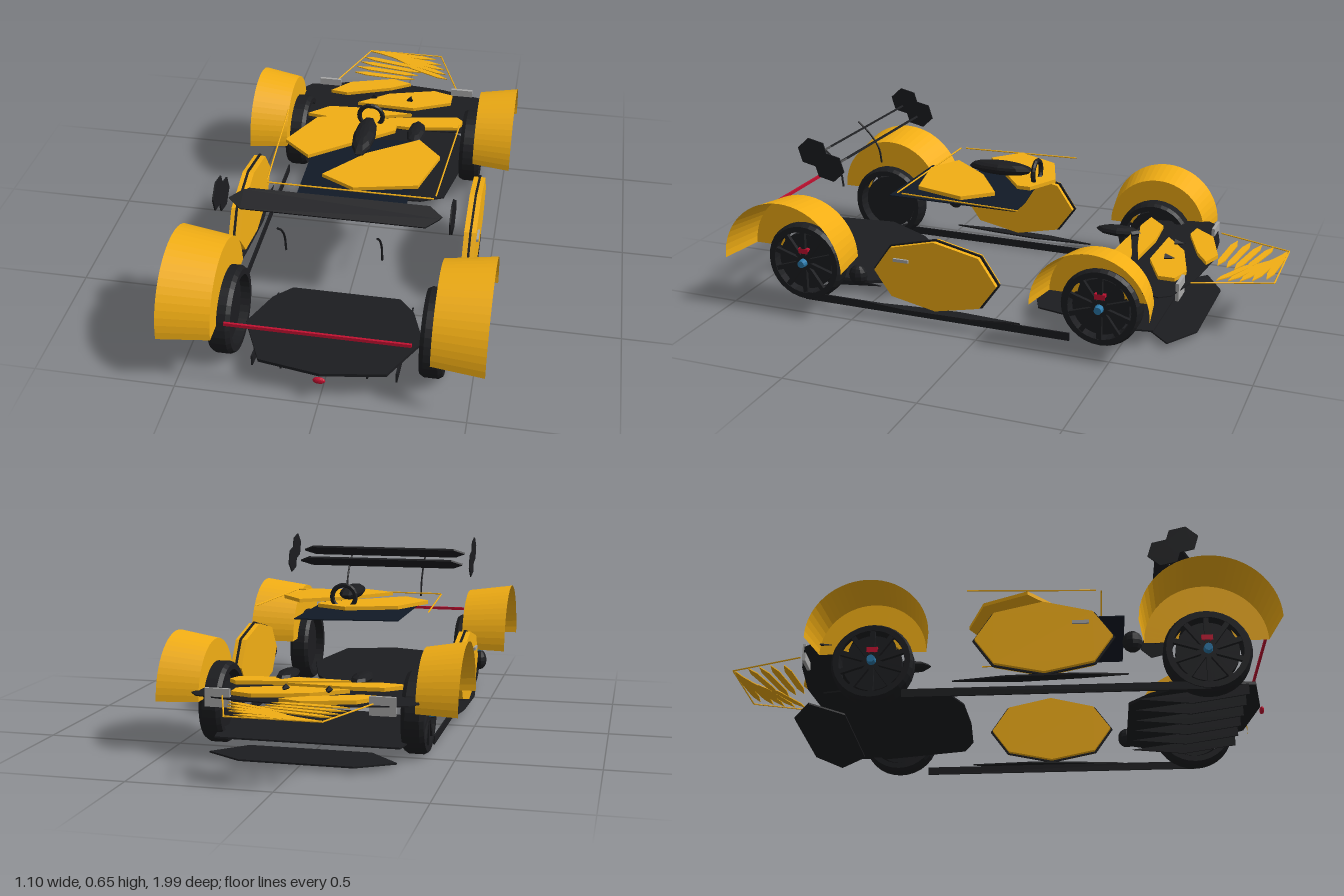
import * as THREE from 'three';

const paint = (color) => new THREE.MeshStandardMaterial({ color, side: THREE.DoubleSide, flatShading: true });
const yellow = paint(0xf2ae14), dark = paint(0x1c1d20), navy = paint(0x111a27);
const grey = paint(0xa8a8a8), red = paint(0xc01030), blue = paint(0x2a78a8);

function add(parent, name, geometry, material, x = 0, y = 0, z = 0) {
  const m = new THREE.Mesh(geometry, material);
  m.name = name;
  m.position.set(x, y, z);
  parent.add(m);
  return m;
}

// polygon of [a, b] points, extruded by depth
function slab(points, depth) {
  const shape = new THREE.Shape(points.map(([a, b]) => new THREE.Vector2(a, b)));
  return new THREE.ExtrudeGeometry(shape, { depth, bevelEnabled: false });
}
// horizontal plate from [x, z] points
const plate = (points, t = 0.006) =>
  slab(points.map(([x, z]) => [x, -z]), t).rotateX(-Math.PI / 2).translate(0, -t / 2, 0);
// upright plate from [z, y] points, facing +x
const sidePlate = (points, t) =>
  slab(points.map(([z, y]) => [-z, y]), t).rotateY(Math.PI / 2).translate(-t / 2, 0, 0);
// half outline of [x, z] points, completed by its mirror image
const both = (half) => [...half, ...half.slice().reverse().map(([x, z]) => [-x, z])];

function rod(parent, name, a, b, r, material) {
  const path = new THREE.LineCurve3(new THREE.Vector3(...a), new THREE.Vector3(...b));
  return add(parent, name, new THREE.TubeGeometry(path, 1, r, 6), material);
}

// wheel turning about x, outer face towards +x
function wheel(r) {
  const g = new THREE.Group();
  g.name = 'wheel';
  const tyre = [[0.8, -0.04], [0.94, -0.04], [1, -0.025], [1, 0.025], [0.94, 0.04], [0.8, 0.04], [0.8, -0.04]];
  add(g, 'tyre', new THREE.LatheGeometry(tyre.map(([k, x]) => new THREE.Vector2(k * r, x)), 32).rotateZ(-Math.PI / 2), dark);
  add(g, 'rim', new THREE.CylinderGeometry(r * 0.72, r * 0.72, 0.03, 32).rotateZ(-Math.PI / 2), dark, 0.005);
  for (let i = 0; i < 10; i++) {
    const spoke = add(g, 'spoke', new THREE.BoxGeometry(0.015, r * 0.8, 0.018).translate(0, r * 0.42, 0), dark, 0.03);
    spoke.rotation.x = i * Math.PI / 5;
  }
  add(g, 'caliper', new THREE.BoxGeometry(0.02, 0.02, 0.04), red, 0.028, r * 0.3, 0);
  add(g, 'hubCap', new THREE.CylinderGeometry(0.014, 0.018, 0.03, 12).rotateZ(-Math.PI / 2), blue, 0.045);
  return g;
}

// half-round arch over the wheel, open outwards, with a flat inner wall
function fender(r, xIn, xOut) {
  const profile = [[r, xOut], [r - 0.025, xIn], [r * 0.4, xIn]];
  const points = profile.map(([a, b]) => new THREE.Vector2(a, b));
  return new THREE.LatheGeometry(points, 28, 0, Math.PI).rotateZ(-Math.PI / 2).rotateX(Math.PI);
}

function buildSide(side) {
  for (const [r, z, y, fr, xi, xo, fy] of [[0.155, 0.75, 0.17, 0.243, 0.368, 0.55, 0.215], [0.147, -0.43, 0.163, 0.217, 0.382, 0.53, 0.2]]) {
    const w = wheel(r);
    w.position.set(0.362, y, z);
    side.add(w);
    add(side, 'fender', fender(fr, xi, xo), yellow, 0, fy, z);
  }
  // door panel with dark surround
  const door = [[0.43, 0.21], [0.36, 0.31], [0.18, 0.355], [0, 0.315], [-0.07, 0.21], [0, 0.112], [0.18, 0.073], [0.36, 0.11]];
  const inset = door.map(([z, y]) => [0.18 + (z - 0.18) * 0.965, 0.213 + (y - 0.213) * 0.955]);
  add(side, 'doorSurround', sidePlate(door, 0.008), dark, 0.432);
  add(side, 'door', sidePlate(inset, 0.044), yellow, 0.431);
  add(side, 'doorHandle', new THREE.BoxGeometry(0.01, 0.012, 0.06), grey, 0.456, 0.262, 0.31);
  // sill, skirt and exhaust
  add(side, 'sill', plate([[0.42, -0.14], [0.452, 0.05], [0.458, 0.3], [0.44, 0.47], [0.42, 0.3], [0.405, 0.1]]), dark, 0, 0.066);
  add(side, 'skirt', new THREE.BoxGeometry(0.006, 0.03, 1.07), dark, 0.397, 0.035, 0.215);
  add(side, 'exhaust', new THREE.SphereGeometry(0.036, 10, 8).scale(0.7, 1.1, 1), dark, 0.455, 0.18, 0.487);
  rod(side, 'roofRail', [0.305, 0.465, 0.37], [0.335, 0.465, -0.1], 0.003, yellow);
  // wing end plates and strut
  for (const [z, y] of [[0.685, 0.615], [0.62, 0.565]]) {
    const hex = [];
    for (let i = 0; i < 6; i++) hex.push([z + 0.063 * Math.cos(i * Math.PI / 3 + 0.25), y + 0.056 * Math.sin(i * Math.PI / 3 + 0.25)]);
    add(side, 'wingEndPlate', sidePlate(hex, 0.005), dark, 0.392);
  }
  const bend = [[0.69, 0.41], [0.7, 0.47], [0.74, 0.53], [0.79, 0.575]].map(([z, y]) => new THREE.Vector3(0.165, y, z));
  add(side, 'wingStrut', new THREE.TubeGeometry(new THREE.CatmullRomCurve3(bend), 10, 0.004, 5), dark);
  // lamp, bonnet vent, nozzle and nose edge
  add(side, 'headLamp', new THREE.BoxGeometry(0.09, 0.065, 0.012), grey, 0.287, 0.237, -0.69);
  add(side, 'bonnetVent', new THREE.SphereGeometry(1, 8, 6).scale(0.038, 0.02, 0.09), dark, 0.138, 0.255, -0.34);
  add(side, 'nozzle', new THREE.ConeGeometry(0.014, 0.04, 4).rotateX(-Math.PI / 2), dark, 0.077, 0.26, -0.6);
  rod(side, 'noseEdge', [0.26, 0.25, -0.72], [0.16, 0.25, -0.997], 0.003, yellow);
}

export function createModel() {
  const model = new THREE.Group();
  model.name = 'car';
  for (const s of [1, -1]) {
    const side = new THREE.Group();
    side.name = s > 0 ? 'leftSide' : 'rightSide';
    buildSide(side);
    side.scale.x = s;
    model.add(side);
  }

  // diffuser floor, rising towards +z, with fins
  const floor = plate(both([[0.2, 0.475], [0.26, 0.55], [0.315, 0.72], [0.22, 0.93], [0.0, 0.97]]), 0.012);
  const p = floor.attributes.position;
  for (let i = 0; i < p.count; i++) p.setY(i, p.getY(i) + 0.055 + (p.getZ(i) - 0.475) * 0.13);
  floor.computeVertexNormals();
  add(model, 'diffuser', floor, dark);
  for (const x of [-0.25, -0.15, -0.05, 0.05, 0.15, 0.25])
    add(model, 'diffuserFin', sidePlate([[0.5, 0.05], [0.9, 0.1], [0.9, 0.06], [0.7, 0.03]], 0.006), dark, x);
  add(model, 'rainLamp', new THREE.SphereGeometry(0.022, 12, 8).scale(1, 0.6, 0.4), red, 0, 0.1, 0.975);
  add(model, 'lightBar', new THREE.BoxGeometry(0.62, 0.012, 0.008), red, 0, 0.315, 0.988);

  // front floor and splitter
  add(model, 'frontFloor', plate(both([[0.33, -0.61], [0.35, -0.5], [0.33, -0.4], [0.28, -0.16], [0.19, -0.12], [0, -0.11]]), 0.006), dark, 0, 0.075);
  add(model, 'splitter', plate(both([[0.2, -0.74], [0.33, -0.66], [0.22, -0.55]])), dark, 0, 0.036);

  // bonnet and its coloured panels
  add(model, 'bonnet', plate(both([[0, -0.745], [0.2, -0.725], [0.37, -0.68], [0.4, -0.64], [0.33, -0.4], [0.1, -0.385]]), 0.004), dark, 0, 0.238);
  const bonnet = [
    [[-0.27, -0.62], [-0.2, -0.7], [-0.02, -0.757], [0.06, -0.73], [-0.02, -0.68], [-0.2, -0.61]],
    [[-0.14, -0.54], [-0.02, -0.63], [0.17, -0.685], [0.25, -0.66], [0.25, -0.6], [0.1, -0.53]],
    [[-0.33, -0.42], [-0.25, -0.49], [-0.1, -0.5], [0.1, -0.485], [-0.02, -0.45], [-0.22, -0.405]],
    [[-0.12, -0.395], [0.06, -0.45], [0.29, -0.49], [0.32, -0.46], [0.3, -0.41], [0.1, -0.38]],
  ];
  for (const b of bonnet) add(model, 'bonnetPanel', plate(b, 0.014), yellow, 0, 0.248);

  // nose slivers, each as [x, z] ends
  const slivers = [
    [-0.16, -0.99, 0.14, -0.965], [-0.11, -0.975, 0.17, -0.92], [-0.07, -0.96, 0.19, -0.88], [-0.03, -0.935, 0.2, -0.84], [0.0, -0.9, 0.21, -0.8],
    [-0.18, -0.935, 0.06, -0.88], [-0.19, -0.89, 0.09, -0.84], [-0.2, -0.845, 0.08, -0.81], [-0.2, -0.795, 0.07, -0.775],
  ];
  for (const [x0, z0, x1, z1] of slivers) {
    const w = 0.013, at = (k, d) => [x0 + (x1 - x0) * k, z0 + (z1 - z0) * k + d];
    add(model, 'noseSliver', plate([[x0, z0], at(0.2, -w), at(0.8, -w), [x1, z1], at(0.8, w), at(0.2, w)], 0.004), yellow, 0, 0.25);
  }
  rod(model, 'noseTip', [-0.16, 0.25, -0.997], [0.16, 0.25, -0.997], 0.003, yellow);

  // cabin deck, roof panels and roof scoop
  add(model, 'cabinDeck', plate([[-0.2, 0.0], [-0.2, 0.475], [0.2, 0.475], [0.2, -0.04], [0.1, -0.04]], 0.004), navy, 0, 0.41);
  add(model, 'roofPanel', plate([[-0.295, 0.12], [-0.21, -0.05], [-0.02, -0.12], [0.1, -0.06], [0.1, -0.01], [-0.19, 0.21]], 0.014), yellow, 0, 0.469);
  add(model, 'roofPanel', plate([[-0.115, 0.32], [0.02, 0.16], [0.2, 0.04], [0.29, 0.14], [0.235, 0.335], [0.01, 0.385]], 0.014), yellow, 0, 0.469);
  rod(model, 'roofTrim', [-0.3, 0.465, 0.39], [0.3, 0.465, 0.39], 0.003, yellow);
  add(model, 'roofScoop', new THREE.SphereGeometry(1, 10, 8).scale(0.042, 0.027, 0.13), dark, 0, 0.505, 0.095);
  add(model, 'scoopRing', new THREE.TorusGeometry(0.045, 0.009, 6, 20), dark, 0, 0.503, -0.052);

  // two wing blades
  for (const [z, y] of [[0.685, 0.6], [0.62, 0.56]]) {
    const blade = add(model, 'wingBlade', plate(both([[0.31, -0.035], [0.355, 0], [0.31, 0.035]]), 0.008), dark, 0, y, z);
    blade.rotation.x = 0.55;
  }
  return model;
}
